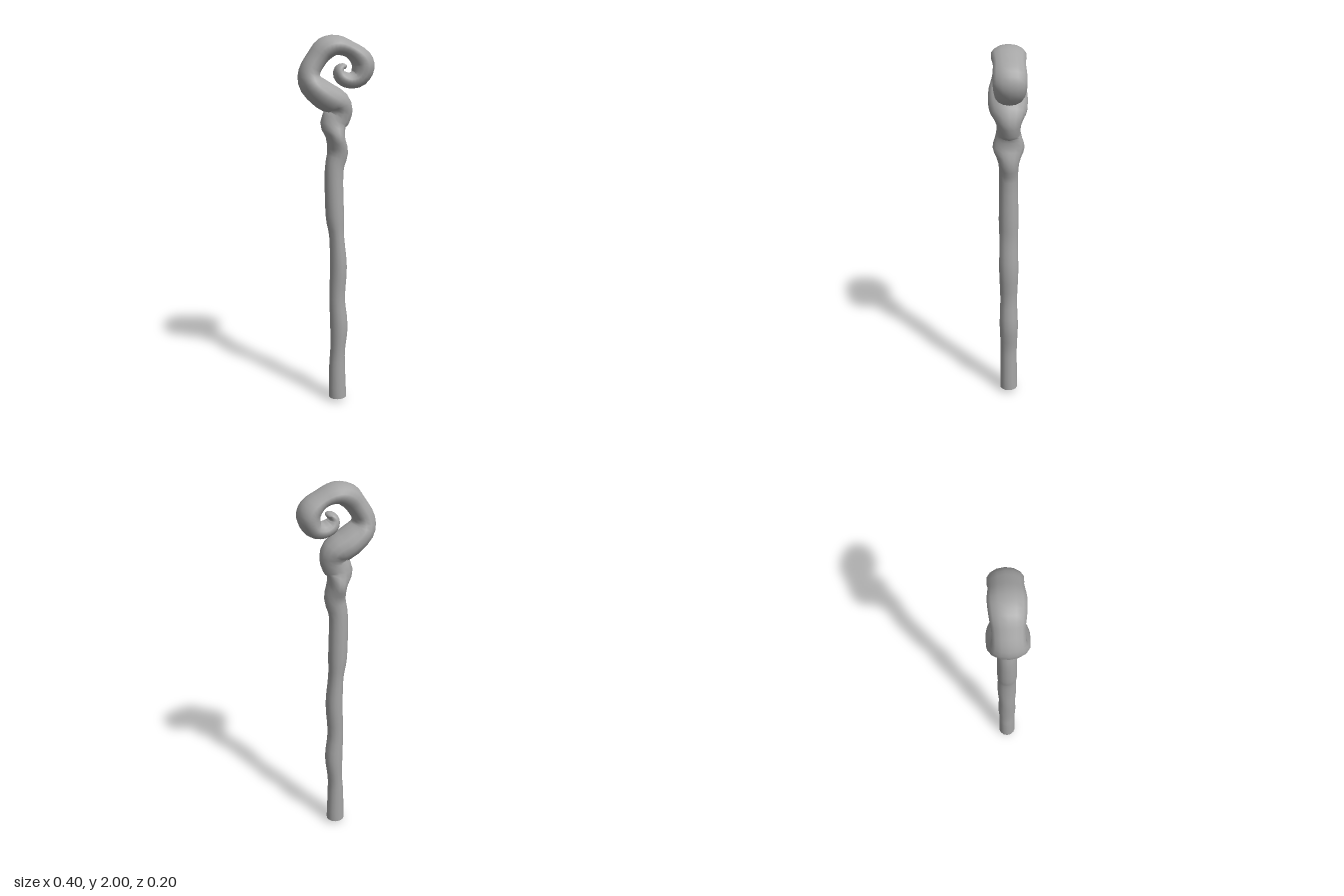
import * as THREE from 'three';

const SIDES = 14;

// Stations from foot to curl tip: x, y, half width in the plane, half depth in z
const SHAFT = [
  [0.005, 0.02, 0.05, 0.05], [0.003, 0.2, 0.045, 0.047], [0.006, 0.3, 0.041, 0.047],
  [0.013, 0.44, 0.049, 0.052], [0.003, 0.6, 0.043, 0.047], [0.01, 0.78, 0.046, 0.053],
  [0.0, 0.95, 0.04, 0.05], [-0.01, 1.07, 0.05, 0.053], [-0.014, 1.3, 0.05, 0.05],
  [0.005, 1.4, 0.056, 0.054], [-0.007, 1.48, 0.048, 0.083], [-0.016, 1.55, 0.071, 0.064],
  [0.01, 1.605, 0.073, 0.062],
];
const HOOK = [
  [0.0, 1.655, 0.07, 0.088], [-0.063, 1.693, 0.072, 0.102], [-0.13, 1.75, 0.064, 0.098],
  [-0.142, 1.812, 0.055, 0.078], [-0.103, 1.881, 0.053, 0.075], [-0.06, 1.928, 0.058, 0.084],
  [0.0, 1.945, 0.05, 0.088], [0.071, 1.922, 0.042, 0.08], [0.125, 1.878, 0.054, 0.084],
  [0.139, 1.833, 0.056, 0.084], [0.114, 1.782, 0.048, 0.074], [0.066, 1.768, 0.04, 0.066],
  [0.024, 1.786, 0.036, 0.06], [0.012, 1.817, 0.027, 0.052], [0.026, 1.838, 0.018, 0.042],
  [0.045, 1.838, 0.012, 0.028], [0.05, 1.835, 0.001, 0.001],
];

// Sweeps an oval section along a planar path
function sweep(stations, stepsPer) {
  const path = new THREE.CatmullRomCurve3(
    stations.map(([x, y]) => new THREE.Vector3(x, y, 0)), false, 'catmullrom', 0.5);
  const size = new THREE.CatmullRomCurve3(
    stations.map(([, , w, d]) => new THREE.Vector3(w, d, 0)), false, 'catmullrom', 0.4);
  const rings = (stations.length - 1) * stepsPer;
  const position = [], index = [];
  for (let i = 0; i <= rings; i++) {
    const c = path.getPoint(i / rings);
    const t = path.getTangent(i / rings);
    const s = size.getPoint(i / rings);
    for (let j = 0; j < SIDES; j++) {
      const a = (j / SIDES) * Math.PI * 2;
      const w = s.x * Math.cos(a);
      position.push(c.x + t.y * w, c.y - t.x * w, s.y * Math.sin(a));
      if (i === rings) continue;
      const k = (j + 1) % SIDES;
      const p = i * SIDES + j, q = i * SIDES + k;
      index.push(p, p + SIDES, q + SIDES, p, q + SIDES, q);
    }
  }
  const geometry = new THREE.BufferGeometry();
  geometry.setAttribute('position', new THREE.Float32BufferAttribute(position, 3));
  geometry.setIndex(index);
  geometry.computeVertexNormals();
  return geometry;
}

export function createModel() {
  const group = new THREE.Group();
  group.name = 'crookedStaff';
  const wood = new THREE.MeshStandardMaterial({ color: 0xa6a6a6 });
  wood.name = 'grey wood';

  // Gnarled shaft running into the spiral crook as one continuous branch
  const branch = new THREE.Mesh(sweep([...SHAFT, ...HOOK], 3), wood);
  branch.name = 'shaftAndCrook';
  group.add(branch);

  // Shallow pointed foot
  const foot = new THREE.Mesh(new THREE.ConeGeometry(0.05, 0.02, SIDES, 1, true), wood);
  foot.name = 'foot';
  foot.rotation.x = Math.PI;
  foot.position.set(0.005, 0.01, 0);
  group.add(foot);

  return group;
}
